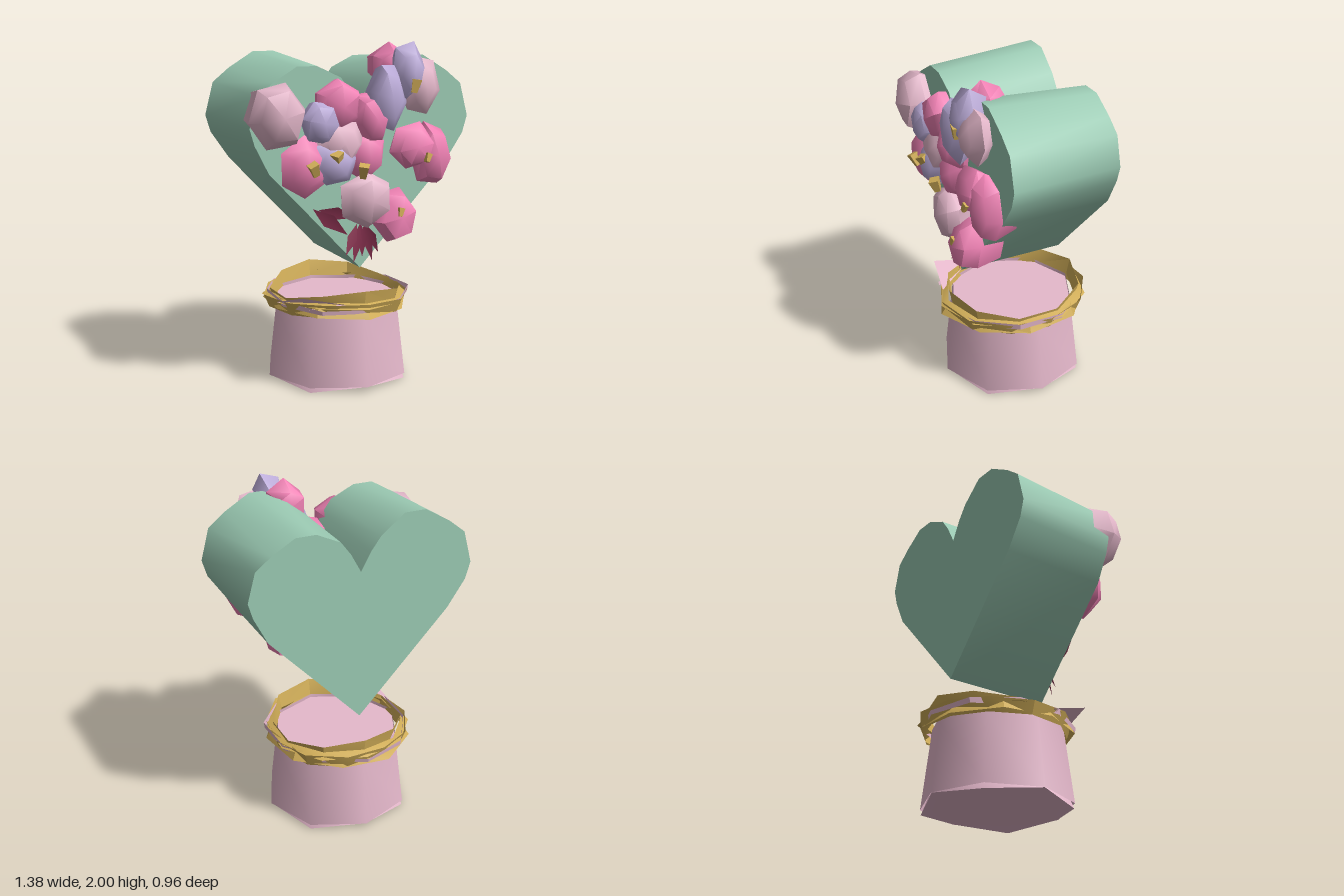
import * as THREE from 'three';
import { toCreasedNormals } from 'three/addons/utils/BufferGeometryUtils.js';

const GREEN = 0x9bcab3, BLUSH = 0xe6b9cc, ROSE = 0xf283b6, LILAC = 0xbcacd9, GOLD = 0xd0ad58, MAROON = 0x8c3352;

function mesh(name, geometry, color, crease = 0.9) {
  const material = new THREE.MeshStandardMaterial({ color, side: THREE.DoubleSide });
  const m = new THREE.Mesh(toCreasedNormals(geometry, crease), material);
  m.name = name;
  return m;
}

// small repeatable wobble in -1..1
const wobble = (a, b) => Math.sin(a * 12.9898 + b * 78.233);

const lathe = (profile, sides) =>
  new THREE.LatheGeometry(profile.map(p => new THREE.Vector2(p[0], p[1])), sides);

// Faceted heart block; two opposite lobe ends are drawn in a little
function heart() {
  const half = [[0.55, 1.3], [0.66, 1.46], [0.69, 1.56], [0.64, 1.75], [0.54, 1.83],
    [0.39, 1.92], [0.26, 1.92], [0.12, 1.81], [0.06, 1.73]];
  const shape = new THREE.Shape([
    new THREE.Vector2(0, 0.72),
    ...half.map(p => new THREE.Vector2(p[0], p[1])),
    new THREE.Vector2(0, 1.62),
    ...half.slice().reverse().map(p => new THREE.Vector2(-p[0], p[1])),
  ]);
  const g = new THREE.ExtrudeGeometry(shape, { depth: 0.65, bevelEnabled: false });
  g.translate(0, 0, -0.34);
  const p = g.attributes.position;
  for (let i = 0; i < p.count; i++) {
    const x = p.getX(i), y = p.getY(i);
    if (x * p.getZ(i) < 0 && Math.abs(x) > 0.2 && y > 1.4) {
      p.setX(i, x - Math.sign(x) * (Math.abs(x) - 0.3) * 0.08);
      p.setY(i, y - Math.max(0, y - 1.5) * 0.1);
    }
  }
  return mesh('heart', g, GREEN);
}

// Closed angular bloom facing +z, shaped from a coarse lathe
function bloom(x, y, z, rx, ry, rz, color, seed) {
  const g = lathe([[0, -1], [0.7, -0.9], [1, 0.1], [0.68, 0.72], [0, 1]], 6);
  const p = g.attributes.position;
  for (let i = 0; i < p.count; i++) {
    const px = p.getX(i), py = p.getY(i), pz = p.getZ(i);
    const onAxis = Math.hypot(px, pz) < 0.01;
    const k = Math.round(Math.atan2(px, pz) / (Math.PI / 3) + 6) % 6;
    const s = onAxis ? 1 : 1.04 + 0.1 * wobble(k + seed, Math.round(py * 10));
    p.setXYZ(i, px * s, py + (onAxis ? 0 : 0.1 * wobble(k, seed)), pz * s);
  }
  g.rotateX(Math.PI / 2);
  g.rotateZ(seed * 0.7);
  g.scale(rx, ry, rz);
  g.translate(x, y, z);
  return mesh('bloom', g, color, 1.0);
}

// Thin pointed leaf with a central fold, root at the origin, tip downward
function leaf(x, y, z, length, width, angle) {
  const g = new THREE.BufferGeometry();
  g.setAttribute('position', new THREE.Float32BufferAttribute([
    0, 0, 0, -width, -length * 0.45, 0, 0, -length, 0.02,
    0, 0, 0, 0, -length, 0.02, width, -length * 0.45, 0.03], 3));
  const m = mesh('leaf', g, MAROON);
  m.position.set(x, y, z);
  m.rotation.z = angle;
  return m;
}

// Bent ribbon ring whose edges rise and fall around the pot
function band(name, r0, r1, y0, y1, rise, seed, color, sides = 11) {
  const g = lathe([[r0, y0], [r1, y1]], sides);
  const p = g.attributes.position;
  for (let i = 0; i < p.count; i++) {
    const a = Math.atan2(p.getX(i), p.getZ(i));
    const upper = p.getY(i) > (y0 + y1) / 2;
    const s = 1 + 0.03 * Math.sin(a * 3 + seed);
    p.setXYZ(i, p.getX(i) * s, p.getY(i) + rise * Math.cos(2 * a + seed) * (upper ? 1 : 0.5), p.getZ(i) * s * 1.05);
  }
  return mesh(name, g, color, 0.6);
}

// Pot floor whose four corners dip to the ground
function potFloor() {
  const g = lathe([[0, 0.03], [0.36, 0.03], [0.43, 0.03], [0.39, 0.1]], 8);
  const p = g.attributes.position;
  for (let i = 0; i < p.count; i++) {
    const x = p.getX(i), z = p.getZ(i);
    if (Math.hypot(x, z) > 0.4) p.setY(i, 0.03 - 0.03 * Math.abs(Math.sin(2 * Math.atan2(x, z))));
  }
  return mesh('potFloor', g, BLUSH);
}

export function createModel() {
  const model = new THREE.Group();
  model.name = 'heartBouquet';
  model.add(heart());

  // Blooms: x, y, z, half width, half height, half depth, colour
  const blooms = new THREE.Group();
  blooms.name = 'blooms';
  [
    [-0.52, 1.62, 0.34, 0.17, 0.2, 0.14, BLUSH],
    [-0.28, 1.58, 0.385, 0.12, 0.13, 0.08, LILAC],
    [-0.16, 1.66, 0.34, 0.15, 0.16, 0.11, ROSE],
    [0.04, 1.58, 0.32, 0.12, 0.17, 0.14, ROSE],
    [0.13, 1.7, 0.37, 0.12, 0.2, 0.09, LILAC],
    [0.2, 1.86, 0.25, 0.11, 0.12, 0.11, ROSE],
    [0.26, 1.83, 0.36, 0.1, 0.16, 0.11, LILAC],
    [0.34, 1.75, 0.37, 0.12, 0.16, 0.09, BLUSH],
    [-0.36, 1.33, 0.34, 0.14, 0.16, 0.1, ROSE],
    [-0.2, 1.35, 0.385, 0.13, 0.12, 0.08, LILAC],
    [-0.15, 1.46, 0.36, 0.14, 0.12, 0.08, BLUSH],
    [0.01, 1.37, 0.34, 0.12, 0.14, 0.09, ROSE],
    [0.3, 1.41, 0.36, 0.14, 0.13, 0.09, ROSE],
    [0.44, 1.35, 0.31, 0.13, 0.19, 0.13, ROSE],
    [0.01, 1.13, 0.37, 0.17, 0.17, 0.1, BLUSH],
    [0.2, 1.02, 0.31, 0.14, 0.17, 0.15, ROSE],
  ].forEach((b, i) => blooms.add(bloom(...b, i + 1)));
  model.add(blooms);

  // Small gold folded hearts of the flowers
  const centres = new THREE.Group();
  centres.name = 'flowerCentres';
  [[-0.34, 1.33], [-0.2, 1.38], [-0.04, 1.3], [0.27, 1.76], [0.19, 1.05], [-0.27, 1.6], [0.36, 1.35]]
    .forEach(([x, y], i) => {
      const s = i < 4 ? 0.04 : 0.026;
      const m = mesh('flowerCentre', new THREE.CylinderGeometry(s, s * 0.6, s * 1.9, 4), GOLD, 0.2);
      m.position.set(x, y, 0.44);
      m.rotation.set(0.5 + wobble(i, 1) * 0.4, wobble(i, 2), wobble(i, 3) * 0.6);
      centres.add(m);
    });
  model.add(centres);

  // Dark leaves at the point of the heart and to one side
  const leaves = new THREE.Group();
  leaves.name = 'leaves';
  for (let i = 0; i < 5; i++)
    leaves.add(leaf((i - 2) * 0.012, 0.98, 0.32 + 0.01 * (i % 2), 0.19 + 0.03 * (i % 2), 0.025, (i - 2) * 0.21));
  leaves.add(leaf(-0.3, 1.09, 0.33, 0.26, 0.04, 0.9));
  leaves.add(leaf(-0.26, 1.08, 0.32, 0.22, 0.04, 1.3));
  model.add(leaves);

  // Flared pot, closed below, with its filling
  const pot = new THREE.Group();
  pot.name = 'pot';
  pot.add(mesh('potBody', lathe([[0.435, 0.03], [0.385, 0.44], [0.38, 0.5]], 8), BLUSH));
  pot.add(potFloor());
  pot.add(mesh('potFilling', lathe([[0.38, 0.48], [0, 0.48]], 8), BLUSH));
  pot.position.z = -0.015;
  model.add(pot);

  // Overlapping gold and pink wrappings around the rim
  const rim = new THREE.Group();
  rim.name = 'rimWrapping';
  rim.add(band('goldWrap', 0.4, 0.43, 0.44, 0.52, 0.012, 0.4, GOLD));
  rim.add(band('goldWrapLower', 0.43, 0.4, 0.45, 0.5, 0.018, 2.2, GOLD, 9));
  rim.add(band('pinkWrap', 0.42, 0.425, 0.48, 0.51, 0.015, 3.6, BLUSH, 10));
  rim.add(band('goldCrown', 0.37, 0.39, 0.48, 0.56, 0.037, 0, GOLD, 10));
  rim.add(band('goldLip', 0.43, 0.385, 0.5, 0.52, 0.015, 1, GOLD, 10));
  // folded pink corner standing out from the front of the rim
  const corner = new THREE.BufferGeometry();
  corner.setAttribute('position', new THREE.Float32BufferAttribute(
    [-0.42, 0.5, 0.08, -0.12, 0.53, 0.4, -0.37, 0.585, 0.35,
      -0.42, 0.5, 0.08, -0.3, 0.49, 0.3, -0.12, 0.53, 0.4], 3));
  rim.add(mesh('pinkCorner', corner, BLUSH));
  rim.position.z = -0.015;
  model.add(rim);

  return model;
}
